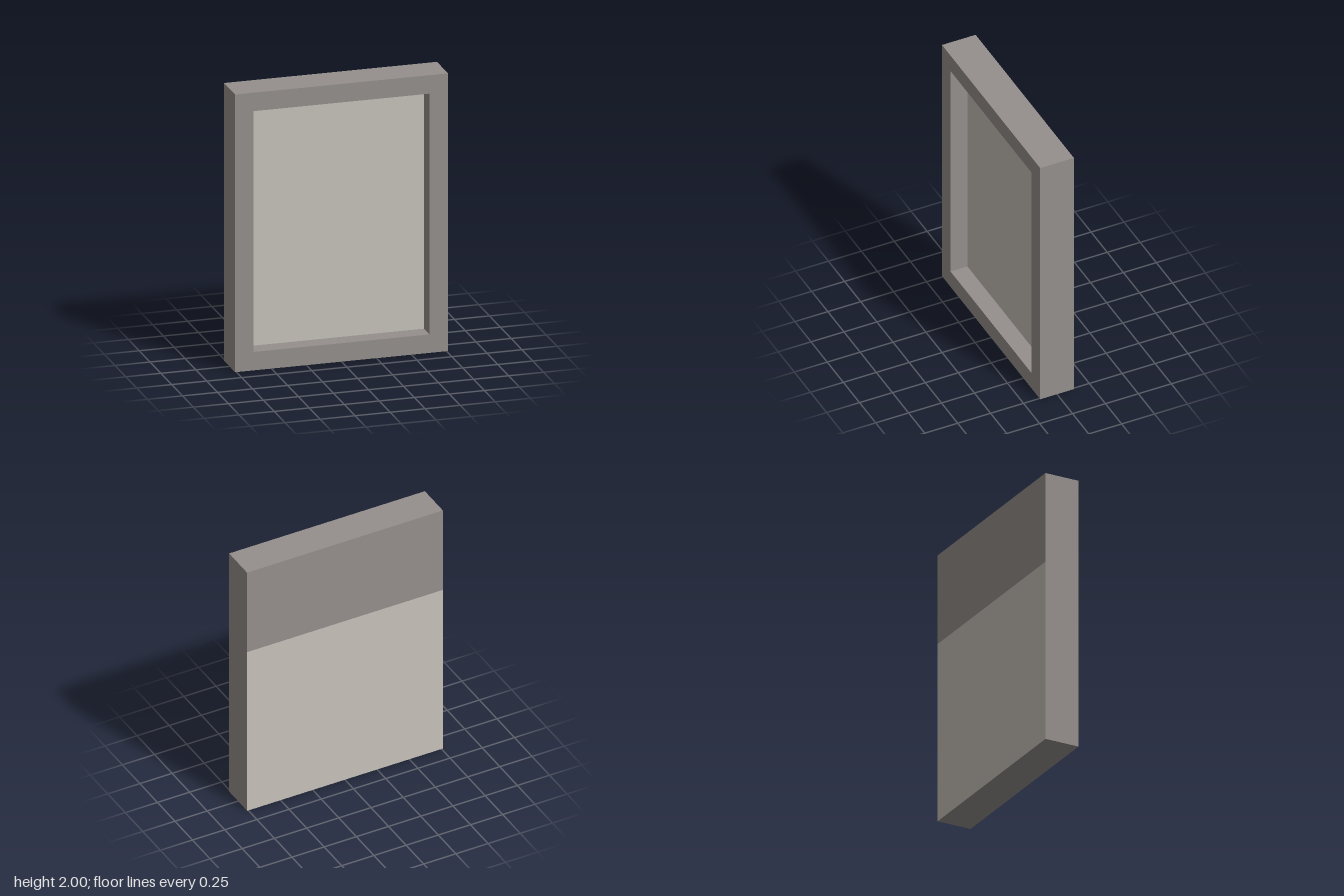
import * as THREE from 'three';

const W = 1.52, H = 2, D = 0.256;      // outer size
const BORDER = 0.133;                  // frame width
const SPLIT = 1.333;                   // height where the back changes colour

const dark = new THREE.MeshStandardMaterial({ color: 0x95908d });
const light = new THREE.MeshStandardMaterial({ color: 0xc8c3bb });

// Traces a centred rectangle standing between two heights
function rect(path, halfWidth, bottom, top) {
  path.moveTo(-halfWidth, bottom);
  path.lineTo(halfWidth, bottom);
  path.lineTo(halfWidth, top);
  path.lineTo(-halfWidth, top);
  path.closePath();
  return path;
}

export function createModel() {
  const model = new THREE.Group();
  const add = (name, geometry, material, y, z) => {
    const mesh = new THREE.Mesh(geometry, material);
    mesh.name = name;
    mesh.position.set(0, y, z);
    model.add(mesh);
    return mesh;
  };

  // Rectangular frame with a window through it
  const outline = rect(new THREE.Shape(), W / 2, 0, H);
  outline.holes.push(rect(new THREE.Path(), W / 2 - BORDER, BORDER, H - BORDER));
  const frame = new THREE.ExtrudeGeometry(outline, { depth: D, bevelEnabled: false });
  add('frame', frame, dark, 0, -D / 2);

  // Recessed panel, its face halfway into the frame
  const panelDepth = D / 2;
  const panel = new THREE.BoxGeometry(W - 2 * BORDER, H - 2 * BORDER, panelDepth);
  add('recessedPanel', panel, light, H / 2, -panelDepth / 2);

  // Two-tone back covering, just clear of the frame
  const backs = [
    ['lowerBack', 0, SPLIT, light],
    ['upperBack', SPLIT, H, dark],
  ];
  for (const [name, bottom, top, material] of backs) {
    const sheet = new THREE.PlaneGeometry(W, top - bottom);
    add(name, sheet, material, (bottom + top) / 2, -D / 2 - 0.001).rotation.y = Math.PI;
  }

  return model;
}
